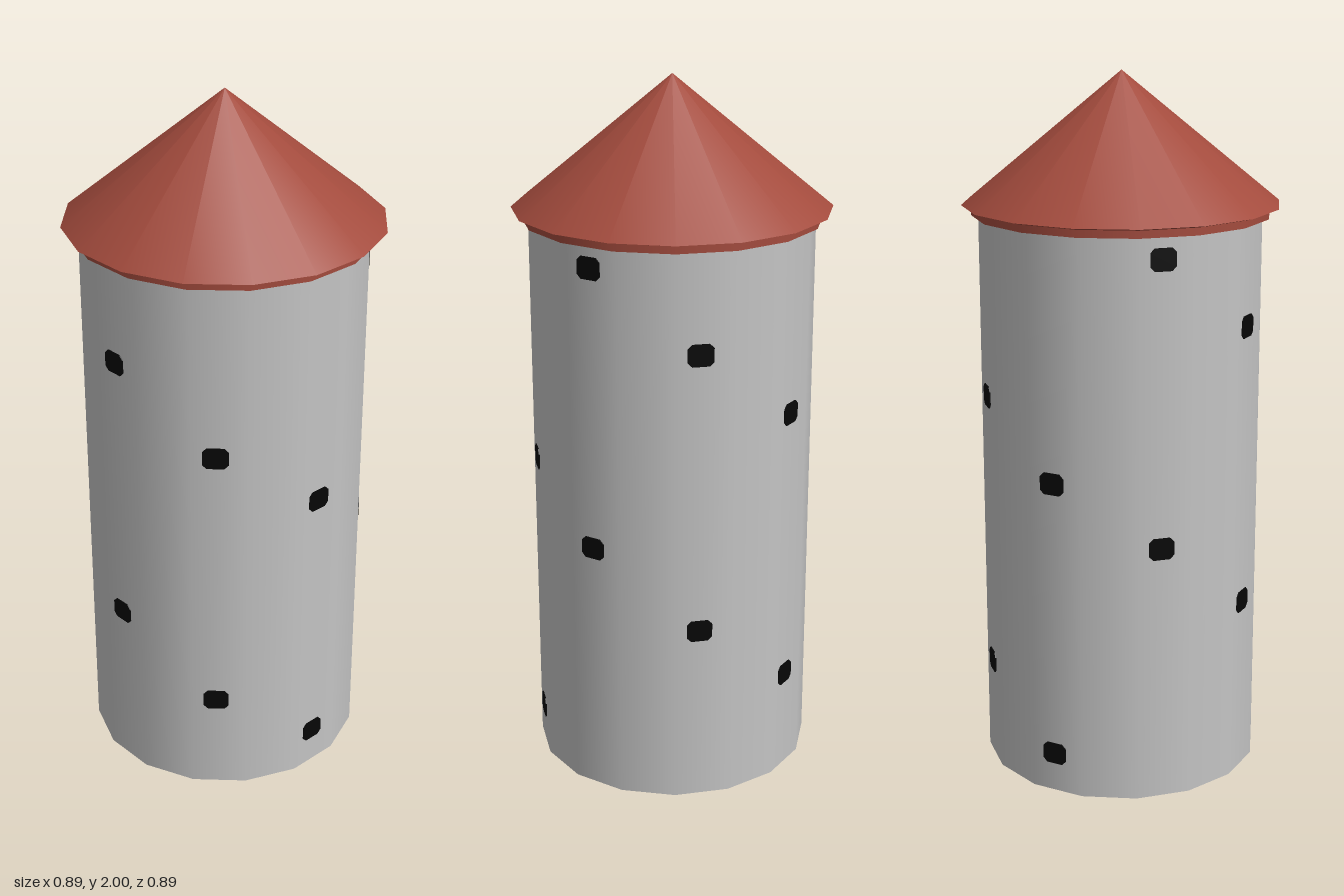
import * as THREE from 'three';

const SIDES = 16;
const WALL_RADIUS = 0.4;

function mat(name, color) {
  const m = new THREE.MeshStandardMaterial({ color, side: THREE.DoubleSide });
  m.name = name;
  return m;
}

export function createModel() {
  const stone = mat('grey stone', 0xc4c4c4);
  const tile = mat('red tile', 0xa34b3d);
  const dark = mat('window black', 0x060606);

  const tower = new THREE.Group();
  tower.name = 'tower';

  // Open sixteen-sided ring between two heights
  function ring(name, rBottom, yBottom, rTop, yTop, material, parent) {
    const geo = new THREE.CylinderGeometry(rTop, rBottom, yTop - yBottom, SIDES, 1, true);
    const mesh = new THREE.Mesh(geo, material);
    mesh.name = name;
    mesh.position.y = (yTop + yBottom) / 2;
    parent.add(mesh);
  }

  // Hollow wall, open at the bottom
  ring('wall', WALL_RADIUS, 0, WALL_RADIUS, 1.61, stone, tower);

  // Conical roof with a narrow band under the eaves
  const roof = new THREE.Group();
  roof.name = 'roof';
  tower.add(roof);
  ring('roofCone', 0.447, 1.635, 0, 2, tile, roof);
  ring('eavesUnderside', 0.42, 1.628, 0.447, 1.635, tile, roof);
  ring('eavesBand', 0.42, 1.607, 0.42, 1.628, tile, roof);
  ring('bandUnderside', 0.4, 1.605, 0.42, 1.607, tile, roof);

  // Windows: thin plates with clipped corners, showing on both wall faces
  const w = 0.036, h = 0.031, c = 0.012;
  const outline = new THREE.Shape([
    [-w + c, -h], [w - c, -h], [w, -h + c], [w, h - c],
    [w - c, h], [-w + c, h], [-w, h - c], [-w, -h + c],
  ].map(([x, y]) => new THREE.Vector2(x, y)));
  const pane = new THREE.ExtrudeGeometry(outline, { depth: 0.006, bevelEnabled: false });
  const apothem = WALL_RADIUS * Math.cos(Math.PI / SIDES);
  pane.translate(-0.009, 0, apothem - 0.003);

  // They climb in a spiral, repeated on the opposite side; [wall facet, heights]
  const rows = [
    [1, [0.745, 1.545]],
    [3, [0.52, 1.325]],
    [5, [0.3, 1.105]],
    [7, [0.115, 0.92]],
  ];
  const windows = new THREE.Group();
  windows.name = 'windows';
  tower.add(windows);
  for (const [facet, heights] of rows) {
    for (const y of heights) {
      for (const half of [0, SIDES / 2]) {
        const mesh = new THREE.Mesh(pane, dark);
        mesh.name = 'window';
        mesh.rotation.y = ((facet + half + 0.5) * 2 * Math.PI) / SIDES;
        mesh.position.y = y;
        windows.add(mesh);
      }
    }
  }
  return tower;
}
